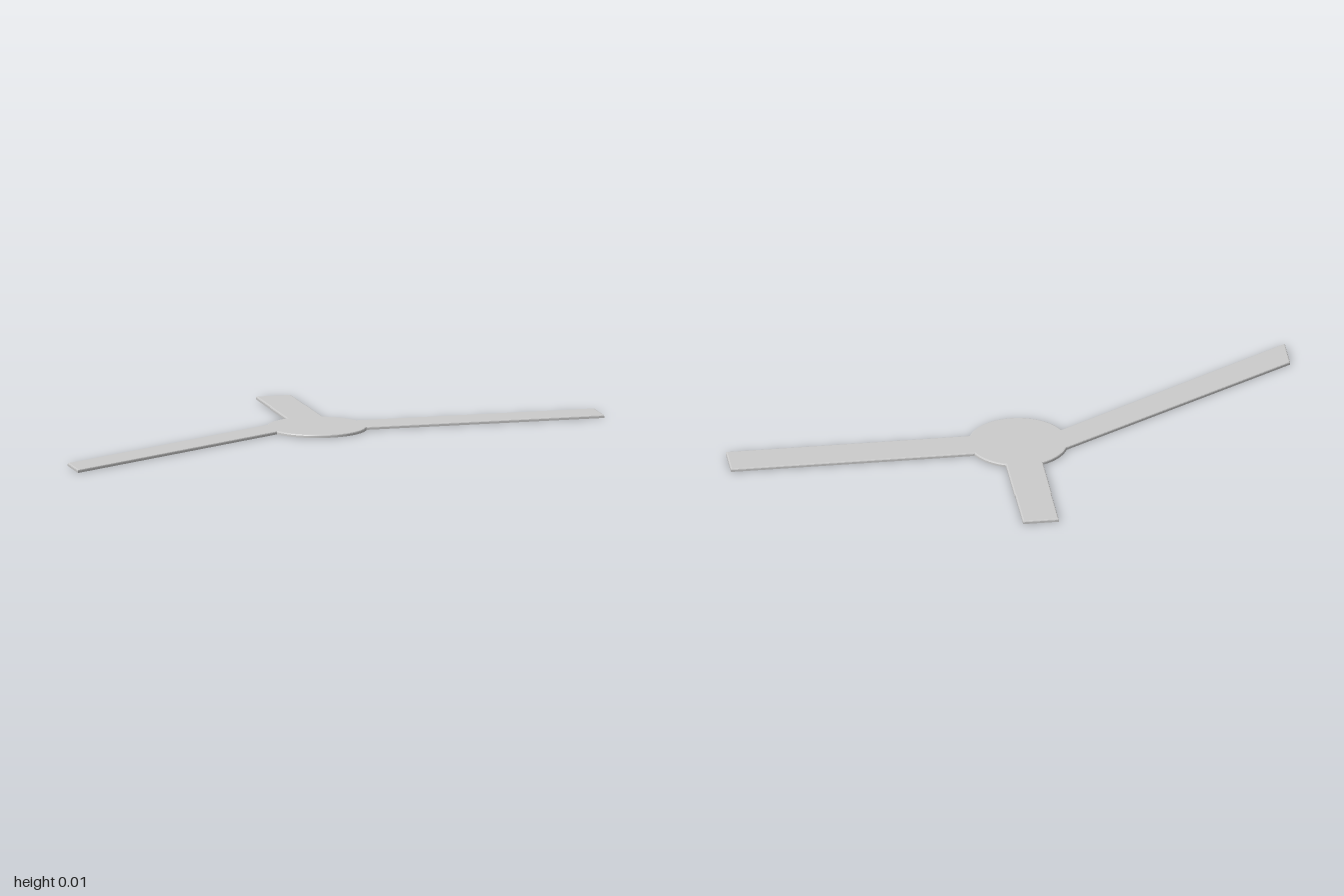
import * as THREE from 'three';

export function createModel() {
  const group = new THREE.Group();
  const R = 0.171, W = 0.064; // hub radius, half width of the arms
  const a = Math.asin(W / R), c = R * Math.cos(a);

  // Plan outline, drawn clockwise with the back of the model upwards
  const outline = new THREE.Shape();
  outline.moveTo(c, -W);
  outline.absarc(0, 0, R, -a, -Math.PI + a, true); // front of the hub
  outline.lineTo(-1, -0.572); // slanted right arm
  outline.lineTo(-1, -0.438);
  outline.lineTo(-c, W);
  outline.absarc(0, 0, R, Math.PI - a, Math.PI / 2 + a, true);
  outline.lineTo(-W, 0.38); // back arm, slightly narrower at its end
  outline.lineTo(-0.062, 0.38);
  outline.lineTo(-0.062, 0.572);
  outline.lineTo(0.062, 0.572);
  outline.lineTo(0.062, 0.38);
  outline.lineTo(W, 0.38);
  outline.lineTo(W, c);
  outline.absarc(0, 0, R, Math.PI / 2 - a, a, true);
  outline.lineTo(1, W); // straight left arm
  outline.lineTo(1, -W);
  outline.closePath();

  // Thin plate with a softened top edge
  const geometry = new THREE.ExtrudeGeometry(outline, {
    depth: 0.007, curveSegments: 32,
    bevelEnabled: true, bevelThickness: 0.004, bevelSize: 0.005,
    bevelOffset: -0.005, bevelSegments: 2,
  });
  // Press the lower bevel flat so the underside is level with a sharp edge
  const p = geometry.attributes.position;
  for (let i = 0; i < p.count; i++) p.setZ(i, Math.max(0, p.getZ(i)));
  geometry.rotateX(-Math.PI / 2);
  geometry.computeVertexNormals();

  const plate = new THREE.Mesh(geometry, new THREE.MeshStandardMaterial({ color: 0xcccccc }));
  plate.name = 'threeArmPlate';
  group.add(plate);
  return group;
}
